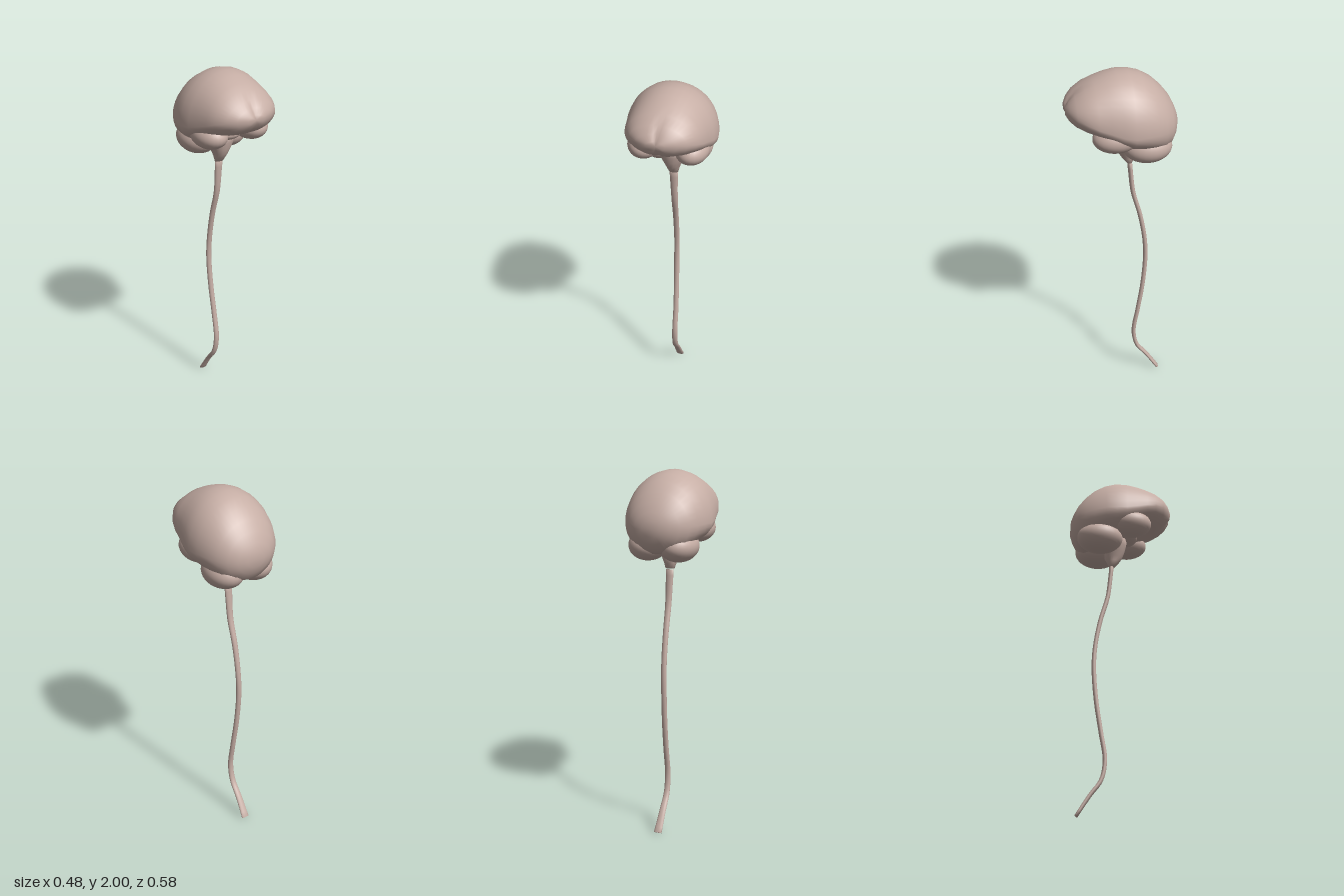
import * as THREE from 'three';

const material = new THREE.MeshStandardMaterial({ color: 0xc6aea5, roughness: 0.8 });

// Skin a list of closed rings (arrays of Vector3) and close both ends.
function loft(rings) {
  const n = rings[0].length, last = rings.length - 1;
  const pts = rings.flat(), index = [];
  for (let i = 0; i < last; i++) {
    for (let j = 0; j < n; j++) {
      const k = (j + 1) % n;
      const a = i * n + j, b = i * n + k, c = b + n, d = a + n;
      index.push(a, b, c, a, c, d);
    }
  }
  const centre = ring => ring.reduce((s, p) => s.add(p), new THREE.Vector3()).divideScalar(n);
  const s = pts.length, e = s + 1;
  pts.push(centre(rings[0]), centre(rings[last]));
  for (let j = 0; j < n; j++) {
    const k = (j + 1) % n;
    index.push(s, k, j, e, last * n + j, last * n + k);
  }
  const g = new THREE.BufferGeometry().setFromPoints(pts);
  g.setIndex(index);
  g.computeVertexNormals();
  return g;
}

function ring(n, fn) {
  return Array.from({ length: n }, (_, j) => {
    const a = (j / n) * Math.PI * 2;
    return fn(Math.cos(a), Math.sin(a));
  });
}

function add(group, name, geometry) {
  const mesh = new THREE.Mesh(geometry, material);
  mesh.name = name;
  group.add(mesh);
  return mesh;
}

function ellipsoid(group, name, centre, radii) {
  const mesh = add(group, name, new THREE.SphereGeometry(1, 28, 20));
  mesh.position.set(...centre);
  mesh.scale.set(...radii);
  return mesh;
}

export function createModel() {
  const model = new THREE.Group();
  model.name = 'brainAndSpinalCord';

  // Cerebrum, back to front: z, top, bottom, half width, height of widest point
  const sections = [
    [-0.29, 1.755, 1.67, 0.05, 1.71],
    [-0.275, 1.795, 1.63, 0.10, 1.71],
    [-0.25, 1.845, 1.59, 0.145, 1.715],
    [-0.21, 1.897, 1.57, 0.183, 1.72],
    [-0.16, 1.945, 1.575, 0.21, 1.725],
    [-0.10, 1.98, 1.59, 0.23, 1.73],
    [-0.04, 1.997, 1.605, 0.24, 1.73],
    [0.02, 2.0, 1.635, 0.233, 1.74],
    [0.08, 1.988, 1.665, 0.217, 1.76],
    [0.14, 1.966, 1.695, 0.204, 1.78],
    [0.19, 1.942, 1.712, 0.185, 1.80],
    [0.24, 1.905, 1.735, 0.15, 1.815],
    [0.27, 1.872, 1.76, 0.105, 1.82],
    [0.29, 1.84, 1.79, 0.05, 1.82],
  ];
  add(model, 'cerebrum', loft(sections.map(([z, top, bottom, w, mid]) =>
    ring(40, (c, s) => {
      const x = w * c;
      const y = mid + s * (s > 0 ? top - mid : mid - bottom);
      // shallow midline groove at the front
      const groove = z > 0.2 ? 0.012 * Math.exp(-((x / 0.02) ** 2)) : 0;
      return new THREE.Vector3(x, y, z - groove);
    }))));

  // Paired lower lobes
  for (const side of [1, -1]) {
    const label = side > 0 ? 'left' : 'right';
    ellipsoid(model, label + 'TemporalLobe', [side * 0.125, 1.69, 0.045], [0.09, 0.075, 0.122]);
    ellipsoid(model, label + 'Cerebellum', [side * 0.088, 1.61, -0.125], [0.104, 0.086, 0.13]);
  }
  // Bridge between the temporal lobes
  ellipsoid(model, 'midbrain', [0, 1.67, 0.03], [0.08, 0.04, 0.07]);

  // Brain stem, top to bottom: y, z, half width, half depth
  const stem = [
    [1.65, -0.03, 0.085, 0.07],
    [1.60, -0.03, 0.075, 0.062],
    [1.56, -0.035, 0.058, 0.056],
    [1.53, -0.04, 0.043, 0.05],
    [1.505, -0.042, 0.034, 0.036],
    [1.475, -0.047, 0.026, 0.016],
  ];
  add(model, 'brainStem', loft(stem.map(([y, z, rx, rz]) =>
    ring(20, (c, s) => new THREE.Vector3(c * rx, y, z + s * rz)))));

  // Spinal cord, a flattened tube swept down an S curve
  const path = new THREE.CatmullRomCurve3([
    [0, 1.468, -0.05], [0, 1.40, -0.056], [0, 1.28, -0.07], [-0.003, 1.13, -0.11],
    [-0.005, 0.97, -0.138], [-0.007, 0.84, -0.145], [-0.004, 0.65, -0.131],
    [0, 0.467, -0.103], [0, 0.31, -0.08], [-0.002, 0.20, -0.1],
    [-0.004, 0.12, -0.156], [-0.004, 0.008, -0.226],
  ].map(p => new THREE.Vector3(...p)));
  const across = new THREE.Vector3(1, 0, 0);
  const cordRings = [];
  for (let i = 0; i <= 48; i++) {
    const t = i / 48;
    const p = path.getPointAt(t);
    const depthAxis = path.getTangentAt(t).cross(across).normalize();
    const rx = 0.0155 + 0.008 * (2 * t - 1) ** 4;
    const rz = 0.0125 - 0.003 * t ** 6;
    cordRings.push(ring(14, (c, s) =>
      p.clone().addScaledVector(across, c * rx).addScaledVector(depthAxis, s * rz)));
  }
  add(model, 'spinalCord', loft(cordRings));

  return model;
}
